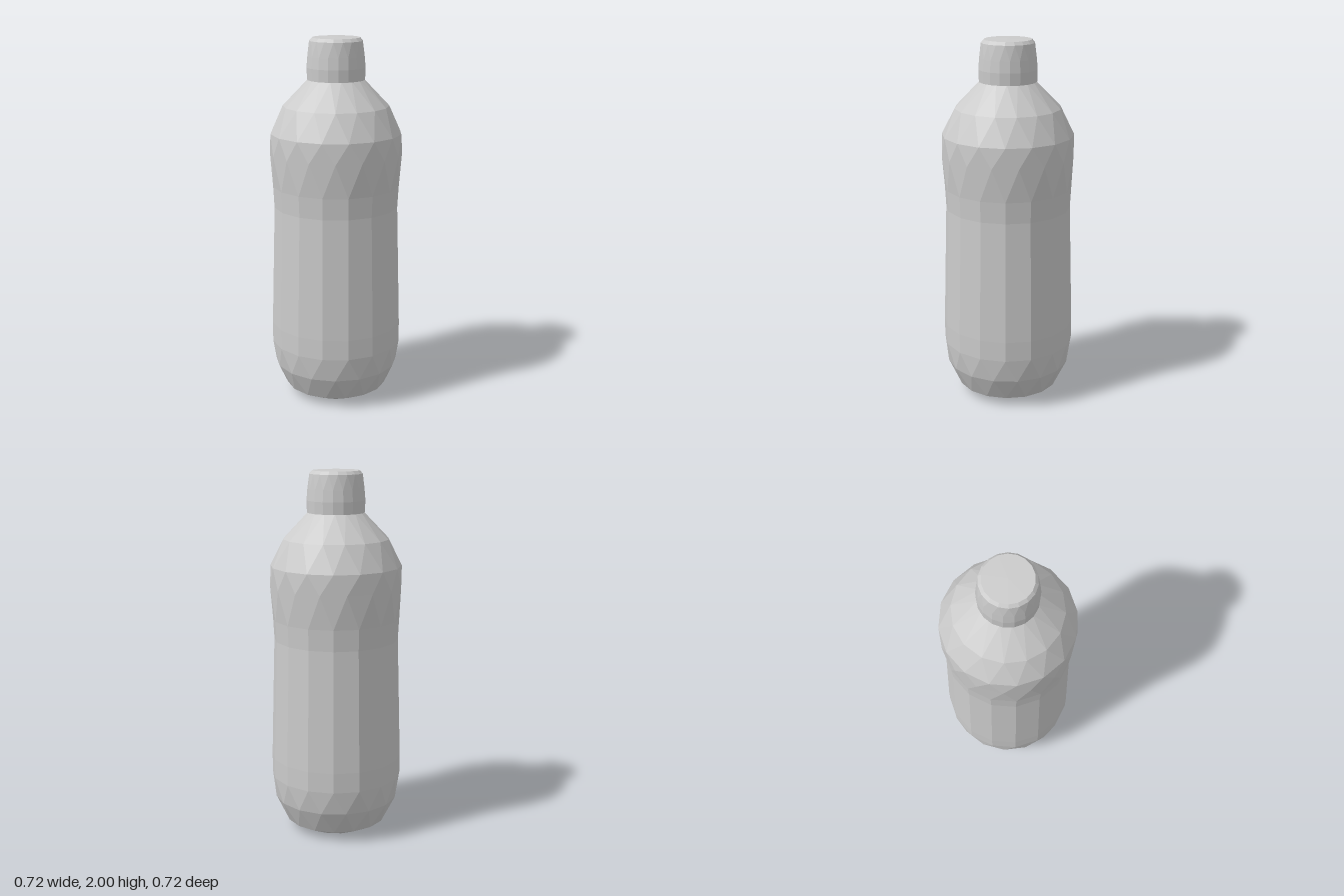
import * as THREE from 'three';

const material = new THREE.MeshStandardMaterial({ color: 0xcccccc, flatShading: true });

// Turned shell from rows of [radius, height, turn]; turn is in half facets and
// staggers neighbouring rings so the facets become triangles.
function facetedShell(name, rows, sides) {
  const geometry = new THREE.LatheGeometry(rows.map(([r, y]) => new THREE.Vector2(r, y)), sides);
  const position = geometry.attributes.position;
  const up = new THREE.Vector3(0, 1, 0);
  const point = new THREE.Vector3();
  for (let i = 0; i < position.count; i++) {
    const turn = rows[i % rows.length][2];
    point.fromBufferAttribute(position, i).applyAxisAngle(up, turn * Math.PI / sides);
    position.setXYZ(i, point.x, point.y, point.z);
  }
  geometry.computeVertexNormals();
  const mesh = new THREE.Mesh(geometry, material);
  mesh.name = name;
  return mesh;
}

export function createModel() {
  const bottle = new THREE.Group();
  bottle.name = 'bottle';

  // Rounded base and long straight grip, up to the waist
  bottle.add(facetedShell('lowerBody', [
    [0, 0, 0], [0.19, 0.005, 0], [0.28, 0.05, 1], [0.342, 0.18, 2],
    [0.361, 0.31, 3], [0.361, 0.42, 3], [0.341, 1.085, 3],
  ], 16));

  // Bulging shoulder that domes in to the neck
  bottle.add(facetedShell('shoulder', [
    [0.341, 1.085, 3], [0.347, 1.2, 3], [0.36, 1.38, 4],
    [0.357, 1.49, 5], [0.287, 1.635, 6], [0.148, 1.78, 7],
  ], 16));

  // Closed screw cap with a softened top edge
  bottle.add(facetedShell('cap', [
    [0, 1.775, 0], [0.156, 1.775, 0], [0.158, 1.84, 0], [0.153, 1.9, 0],
    [0.143, 1.98, 1], [0.128, 1.997, 1], [0, 2, 1],
  ], 18));

  return bottle;
}
